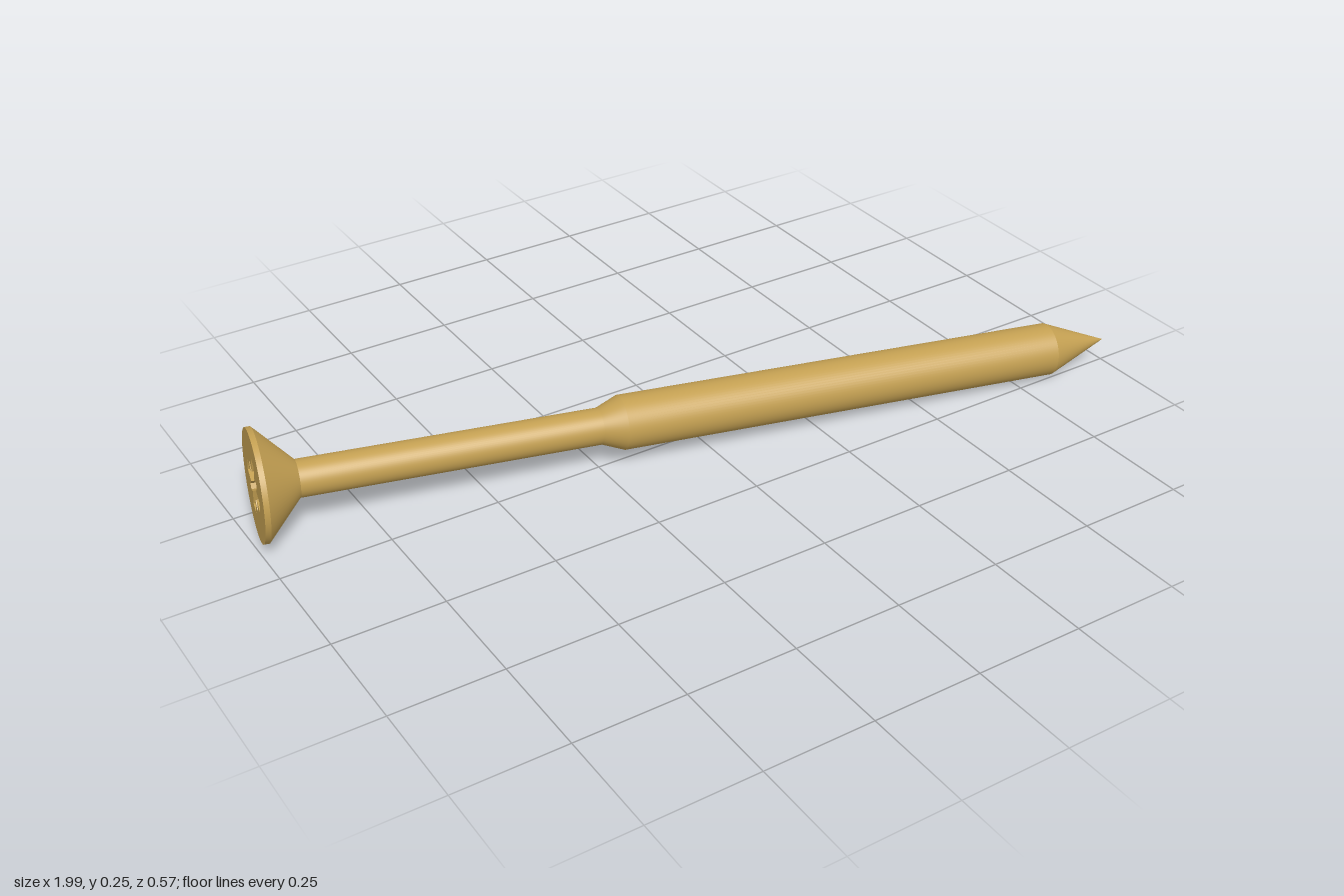
import * as THREE from 'three';

export function createModel() {
  const brass = new THREE.MeshStandardMaterial({ color: 0xc4a052 });
  brass.name = 'brass';
  const screw = new THREE.Group();
  screw.name = 'screw';
  const add = (name, geometry, parent = screw) => {
    const mesh = new THREE.Mesh(geometry, brass);
    mesh.name = name;
    parent.add(mesh);
  };

  // The axis runs from the centre of the head face to the tip
  const start = new THREE.Vector3(-0.974, 0.125, -0.165);
  const tip = new THREE.Vector3(0.995, 0.059, 0.253);
  const axis = tip.clone().sub(start);
  const length = axis.length();

  // Round sections: [name, from, to, radius at start, radius at end]
  const headRadius = 0.123, shankRadius = 0.041, bodyRadius = 0.061;
  const sections = [
    ['headRim', 0, 0.012, headRadius, headRadius],
    ['headCone', 0.012, 0.09, headRadius, shankRadius],
    ['shank', 0.09, 0.75, shankRadius, shankRadius],
    ['shoulder', 0.75, 0.8, shankRadius, bodyRadius],
    ['body', 0.8, 1.86, bodyRadius, bodyRadius],
    ['point', 1.86, length, bodyRadius, 0],
  ];
  for (const [name, from, to, r0, r1] of sections) {
    const geometry = new THREE.CylinderGeometry(r1, r0, to - from, 64, 1, true);
    add(name, geometry.translate(0, (from + to) / 2, 0));
  }

  // Cross recess outline: four arms with a small notch between each pair
  const arm = 0.066, half = 0.014;
  const quarter = [[arm, half], [0.029, half], [0.041, 0.032], [0.032, 0.041], [half, 0.029], [half, arm]];
  const outline = [];
  for (let i = 0; i < 4; i++) {
    for (const [x, y] of quarter) {
      outline.push(new THREE.Vector2(x, y).rotateAround(new THREE.Vector2(), i * Math.PI / 2));
    }
  }
  const depth = 0.05, taper = 0.7;
  const floorOutline = outline.map(p => p.clone().multiplyScalar(taper));

  // Head face with the recess cut through
  const face = new THREE.Shape().absarc(0, 0, headRadius, 0, Math.PI * 2);
  face.holes.push(new THREE.Path(outline.concat(outline[0].clone())));
  add('headFace', new THREE.ShapeGeometry(face, 32).rotateX(Math.PI / 2));

  // Tapered recess walls and floor
  const positions = [];
  outline.forEach((a, i) => {
    const j = (i + 1) % outline.length;
    const b = outline[j], c = floorOutline[j], d = floorOutline[i];
    positions.push(a.x, a.y, 0, b.x, b.y, 0, c.x, c.y, -depth);
    positions.push(a.x, a.y, 0, c.x, c.y, -depth, d.x, d.y, -depth);
  });
  const walls = new THREE.BufferGeometry();
  walls.setAttribute('position', new THREE.Float32BufferAttribute(positions, 3));
  walls.rotateX(Math.PI / 2);
  walls.computeVertexNormals();
  add('recessWalls', walls);
  const floor = new THREE.ShapeGeometry(new THREE.Shape(floorOutline));
  add('recessFloor', floor.translate(0, 0, -depth).rotateX(Math.PI / 2));

  // Lay the screw down on its head and body
  screw.quaternion.setFromUnitVectors(new THREE.Vector3(0, 1, 0), axis.normalize());
  screw.position.copy(start);
  const model = new THREE.Group();
  model.name = 'model';
  model.add(screw);
  return model;
}
